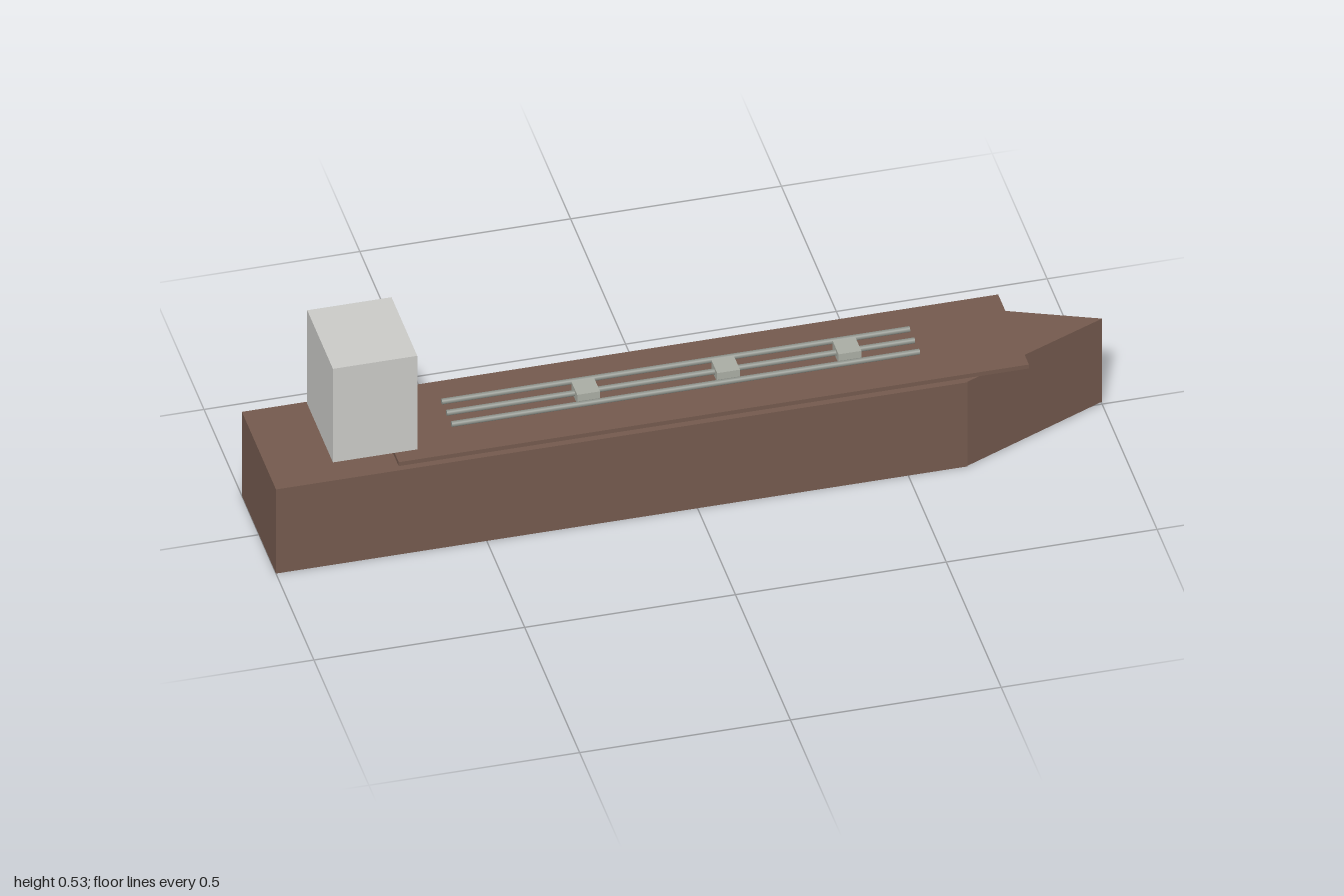
import * as THREE from 'three';

export function createModel() {
  const ship = new THREE.Group();
  ship.name = 'cargoShip';

  const material = (name, color) => {
    const m = new THREE.MeshStandardMaterial({ color });
    m.name = name;
    return m;
  };
  const brown = material('hullBrown', 0x73594d);
  const white = material('bridgeGrey', 0xc9c9c6);
  const steel = material('pipeGrey', 0x8c9089);
  const pale = material('manifoldGrey', 0xa9aca3);

  const add = (name, geometry, mat, x, y, z) => {
    const mesh = new THREE.Mesh(geometry, mat);
    mesh.name = name;
    mesh.position.set(x, y, z);
    ship.add(mesh);
    return mesh;
  };
  // box given by its lower and upper limits
  const box = (name, mat, [x0, x1], [y0, y1], halfZ) =>
    add(name, new THREE.BoxGeometry(x1 - x0, y1 - y0, halfZ * 2), mat,
      (x0 + x1) / 2, (y0 + y1) / 2, 0);

  // Hull
  box('hull', brown, [-1, 0.64], [0, 0.24], 0.155);

  // Bow: a box whose front end is drawn together into a vertical stem
  const bow = new THREE.BoxGeometry(0.36, 0.24, 0.306).toNonIndexed();
  const p = bow.attributes.position;
  for (let i = 0; i < p.count; i++) {
    if (p.getX(i) > 0) {
      p.setZ(i, 0);
      p.setY(i, p.getY(i) > 0 ? 0.124 : -0.113);
    }
  }
  bow.computeVertexNormals();
  add('bow', bow, brown, 0.82, 0.12, 0);

  // Raised deck plate and the bridge tower
  box('deck', brown, [-0.705, 0.79], [0.241, 0.252], 0.14);
  box('bridge', white, [-0.855, -0.655], [0.263, 0.53], 0.117);

  // Deck pipes
  for (const z of [-0.045, 0, 0.045]) {
    const pipe = new THREE.CylinderGeometry(0.007, 0.007, 1.11, 16).rotateZ(Math.PI / 2);
    add('deckPipe', pipe, steel, 0, 0.265, z);
  }

  // Pipe manifolds
  for (const x of [-0.225, 0.107, 0.395]) {
    box('manifold', pale, [x - 0.027, x + 0.027], [0.251, 0.279], 0.027);
  }

  return ship;
}
